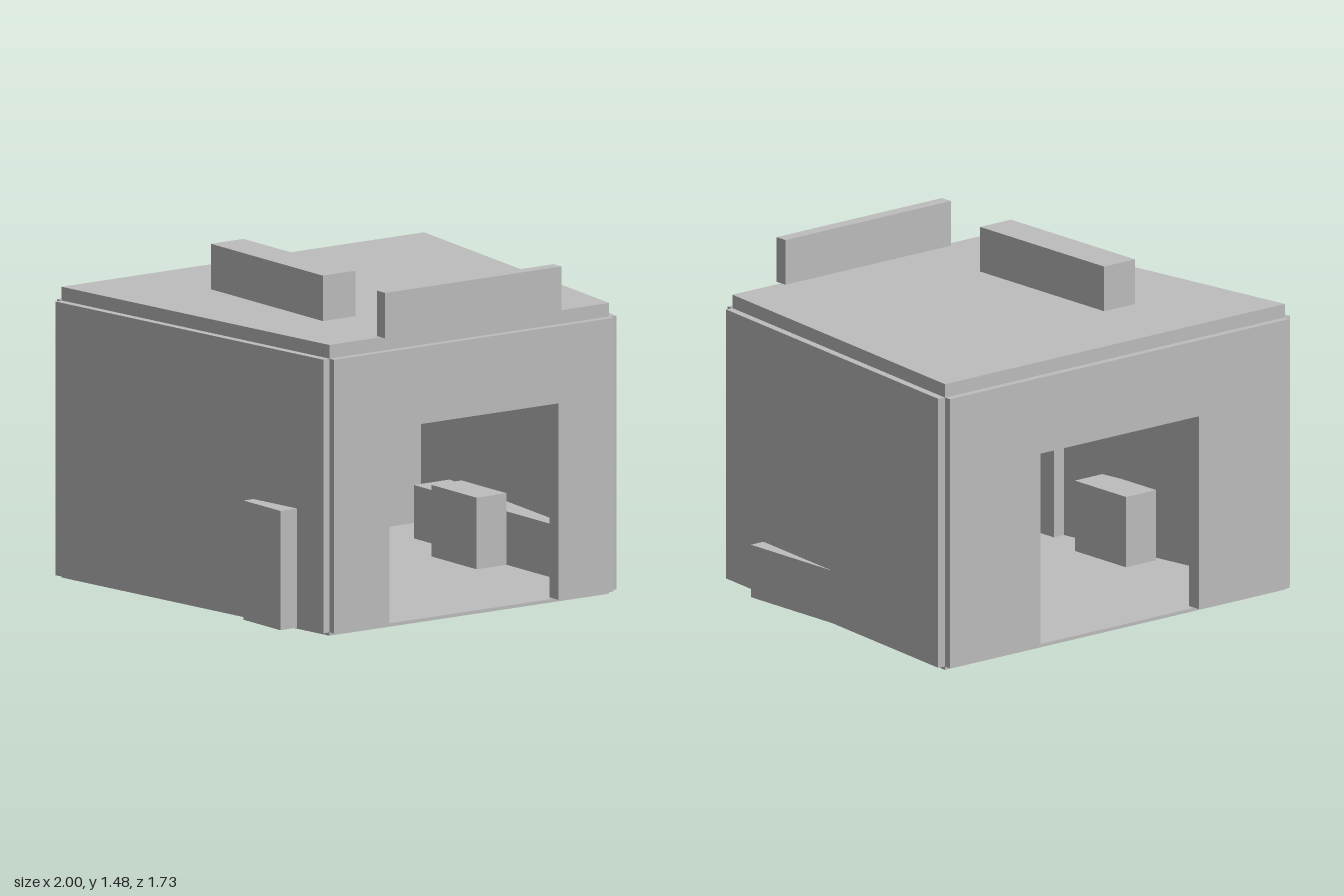
import * as THREE from 'three';

const FLOOR = 0.015, WALL_TOP = 1.22, ROOF_TOP = 1.28;
const FRONT_X = 0.745, BACK_X = 0.965, END_Z = 0.83, THICK = 0.065;

export function createModel() {
  const group = new THREE.Group();
  const grey = new THREE.MeshStandardMaterial({ color: 0xbdbdbd });
  grey.name = 'plain grey';

  function add(name, geometry) {
    const mesh = new THREE.Mesh(geometry, grey);
    mesh.name = name;
    group.add(mesh);
    return mesh;
  }

  // Axis-aligned block from its minimum and maximum corners
  function block(name, [x0, y0, z0], [x1, y1, z1]) {
    add(name, new THREE.BoxGeometry(x1 - x0, y1 - y0, z1 - z0))
      .position.set((x0 + x1) / 2, (y0 + y1) / 2, (z0 + z1) / 2);
  }

  // Floor and roof: slabs that widen towards the back
  function slab(name, y0, y1) {
    const plan = new THREE.Shape([
      new THREE.Vector2(-FRONT_X, -END_Z), new THREE.Vector2(FRONT_X, -END_Z),
      new THREE.Vector2(BACK_X, END_Z), new THREE.Vector2(-BACK_X, END_Z),
    ]);
    const geometry = new THREE.ExtrudeGeometry(plan, { depth: y1 - y0, bevelEnabled: false });
    geometry.rotateX(-Math.PI / 2);
    add(name, geometry).position.y = y0;
  }
  slab('floor', 0, FLOOR);
  slab('roof', WALL_TOP, ROOF_TOP);

  // End walls, each with a wide doorway open down to the floor
  function doorWall(name, halfWidth, z) {
    const outline = new THREE.Shape([
      [-halfWidth, FLOOR], [-0.45, FLOOR], [-0.45, 0.88], [0.45, 0.88],
      [0.45, FLOOR], [halfWidth, FLOOR], [halfWidth, WALL_TOP], [-halfWidth, WALL_TOP],
    ].map(([x, y]) => new THREE.Vector2(x, y)));
    const geometry = new THREE.ExtrudeGeometry(outline, { depth: THICK, bevelEnabled: false });
    add(name, geometry).position.z = z - THICK / 2;
  }
  doorWall('frontWall', FRONT_X, END_Z);
  doorWall('backWall', BACK_X, -END_Z);

  // Splayed side walls
  const run = BACK_X - FRONT_X;
  const length = Math.hypot(run, 2 * END_Z);
  for (const side of [-1, 1]) {
    const wall = add(side > 0 ? 'leftWall' : 'rightWall',
      new THREE.BoxGeometry(0.07, WALL_TOP - FLOOR, length));
    wall.position.set(side * (FRONT_X + BACK_X) / 2, (FLOOR + WALL_TOP) / 2, 0);
    wall.rotation.y = -side * Math.atan2(run, 2 * END_Z);
  }

  // Roof fittings
  block('signBoard', [-0.47, ROOF_TOP, 0.8], [0.47, 1.48, 0.86]);
  block('roofUnit', [-0.475, ROOF_TOP, -0.41], [-0.3, 1.48, 0.41]);

  // Furnishings, two of which pass through the side walls
  block('cabinet', [-0.89, FLOOR, 0.4], [-0.71, 0.54, 0.67]);
  block('bench', [0.7, FLOOR, -0.54], [0.89, 0.25, 0.54]);
  block('rightCrate', [-0.81, FLOOR, -0.16], [-0.64, 0.33, 0.18]);
  block('leftCrate', [0.54, FLOOR, -0.19], [0.7, 0.33, 0.14]);

  return group;
}
